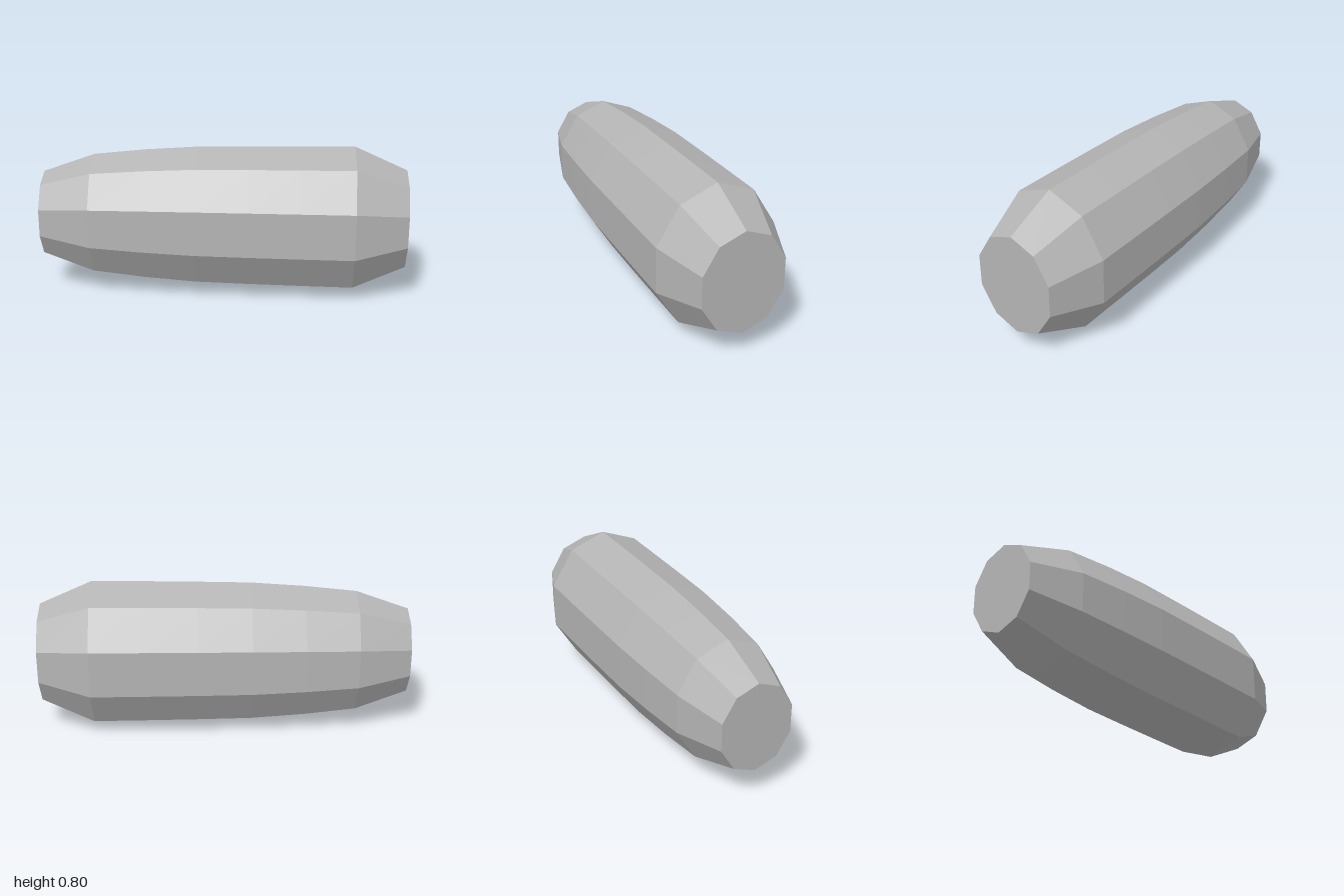
import * as THREE from 'three';

export function createModel() {
  const group = new THREE.Group();
  const grey = new THREE.MeshStandardMaterial({ color: 0xb4b4b4, flatShading: true });
  grey.name = 'grey';

  // Ring radii, evenly spaced from the slim end to the blunt end
  const radii = [0.237, 0.337, 0.367, 0.387, 0.393, 0.397, 0.4, 0.275];
  const length = 1.955;
  const profile = radii.map((r, i) => new THREE.Vector2(r, length * (i / (radii.length - 1) - 0.5)));
  profile.unshift(new THREE.Vector2(0, -length / 2)); // closed ends
  profile.push(new THREE.Vector2(0, length / 2));

  // Ten-sided barrel with a corner at the top, laid along x and narrowed in depth
  const lathe = new THREE.LatheGeometry(profile, 10, Math.PI / 2);
  lathe.rotateZ(-Math.PI / 2);
  lathe.scale(1, 1, 0.846);
  const geometry = lathe.toNonIndexed();
  geometry.computeVertexNormals();

  // The blunt end swings towards the front
  const body = new THREE.Mesh(geometry, grey);
  body.name = 'barrelBody';
  body.rotation.y = -THREE.MathUtils.degToRad(11.85);
  body.position.set(-0.002, 0.4, -0.027);
  group.add(body);
  return group;
}
